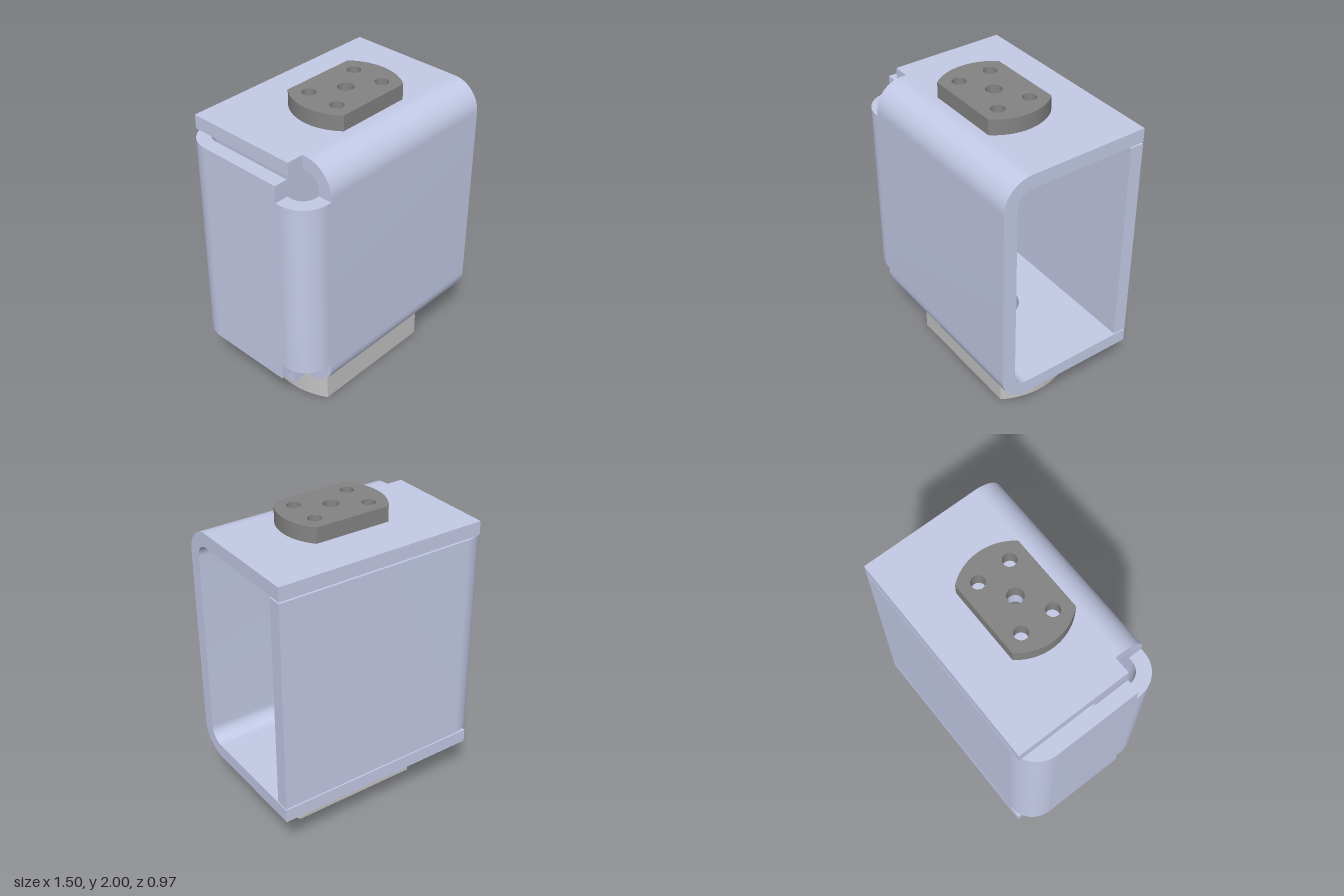
import * as THREE from 'three';
import { toCreasedNormals } from 'three/addons/utils/BufferGeometryUtils.js';

const R = 0.185, r = 0.095;          // outer and inner bend radius of the sheet
const CX = 0.048, CZ = 0.042;        // axis shared by both mounting blocks

// Closed strip of bent sheet: outer edge through the bends, then back along the inner edge.
// Each bend is [centreX, centreY, startAngle] and turns 90 degrees.
function bentStrip(start, bends, ends, last) {
  const s = new THREE.Shape();
  const [bx, by, ba] = bends[0];
  s.moveTo(...start);
  s.lineTo(bx + R * Math.cos(ba), by + R * Math.sin(ba));
  for (const [x, y, a] of bends) s.absarc(x, y, R, a, a + Math.PI / 2, false);
  for (const p of ends) s.lineTo(...p);
  for (const [x, y, a] of [...bends].reverse()) s.absarc(x, y, r, a + Math.PI / 2, a, true);
  s.lineTo(...last);
  s.closePath();
  return s;
}

function rectangle(x0, x1, z0, z1) {
  return new THREE.Shape([[x0, -z1], [x1, -z1], [x1, -z0], [x0, -z0]].map(p => new THREE.Vector2(...p)));
}

// Disc cut by two flats; a half width equal to the radius leaves a full disc
function flattedDisc(radius, half) {
  const a = Math.asin(half / radius), s = new THREE.Shape();
  s.absarc(CX, -CZ, radius, -a, a, false);
  s.absarc(CX, -CZ, radius, Math.PI - a, Math.PI + a, false);
  s.closePath();
  return s;
}

// Round holes, each [dx, dz, radius] from the block axis
function drill(shape, holes) {
  for (const [dx, dz, radius] of holes) {
    const h = new THREE.Path();
    h.absarc(CX + dx, -CZ - dz, radius, 0, Math.PI * 2, true);
    shape.holes.push(h);
  }
  return shape;
}

function extrude(shape, depth) {
  return new THREE.ExtrudeGeometry(shape, { depth, bevelEnabled: false, curveSegments: 24 });
}

export function createModel() {
  const model = new THREE.Group();
  model.name = 'bracketAssembly';
  const sheet = new THREE.MeshStandardMaterial({ name: 'paleBlueSheet', color: 0xcad1ee });
  const light = new THREE.MeshStandardMaterial({ name: 'lightGreyMetal', color: 0xc4c4c4 });
  const dark = new THREE.MeshStandardMaterial({ name: 'darkGreyMetal', color: 0x848484 });

  function add(name, geometry, material) {
    const mesh = new THREE.Mesh(toCreasedNormals(geometry, 0.5), material);
    mesh.name = name;
    model.add(mesh);
  }
  // Plan shape (x, -z) raised from y0 to y1
  const slab = (name, shape, y0, y1, material) =>
    add(name, extrude(shape, y1 - y0).rotateX(-Math.PI / 2).translate(0, y0, 0), material);

  // Front wall with its upper and lower bends
  const front = bentStrip([-0.27, 1.9],
    [[-0.299, 1.715, Math.PI / 2], [-0.299, 0.482, Math.PI]],
    [[-0.27, 0.297], [-0.27, 0.387]], [-0.27, 1.81]);
  add('frontWall', extrude(front, 1.29).rotateY(Math.PI / 2).translate(-0.54, 0, 0), sheet);

  // Top and bottom flanges
  slab('topFlange', drill(rectangle(-0.65, 0.75, -0.484, 0.27), [[0, 0, 0.05]]), 1.81, 1.9, sheet);
  slab('bottomFlange', drill(rectangle(-0.65, 0.75, -0.484, 0.27), [[0, 0, 0.165]]), 0.297, 0.387, sheet);

  // Side wall bending into the back wall
  slab('sideAndBackWall', bentStrip([0.75, 0.484], [[-0.565, 0.299, Math.PI / 2]],
    [[-0.75, -0.27], [-0.66, -0.27]], [0.75, 0.394]), 0.397, 1.8, sheet);

  // Shorter bend between side and front walls, leaving corner notches
  slab('sideFrontBend', bentStrip([-0.75, -0.27], [[-0.565, -0.299, Math.PI]],
    [[-0.54, -0.484], [-0.54, -0.394]], [-0.66, -0.27]), 0.507, 1.69, sheet);

  // Upper block with four screw holes, and its boss inside the housing
  const screws = [[0, 0, 0.05]];
  for (const x of [-0.19, 0.19]) for (const z of [-0.11, 0.11]) screws.push([x, z, 0.043]);
  slab('topBlock', drill(flattedDisc(0.335, 0.22), screws), 1.9, 2, dark);
  slab('innerBoss', drill(flattedDisc(0.145, 0.145), [[0, 0, 0.05]]), 1.67, 1.81, dark);

  // Lower block in layers, with a ring groove inside the bore
  for (const [y0, y1, bore] of [[0, 0.08, 0.18], [0.08, 0.1, 0.192], [0.1, 0.297, 0.18]]) {
    const holes = [[0, 0, bore], [-0.38, 0, 0.09], [0.38, 0, 0.09]];
    slab('bottomBlock', drill(flattedDisc(0.51, 0.263), holes), y0, y1, light);
  }
  return model;
}
